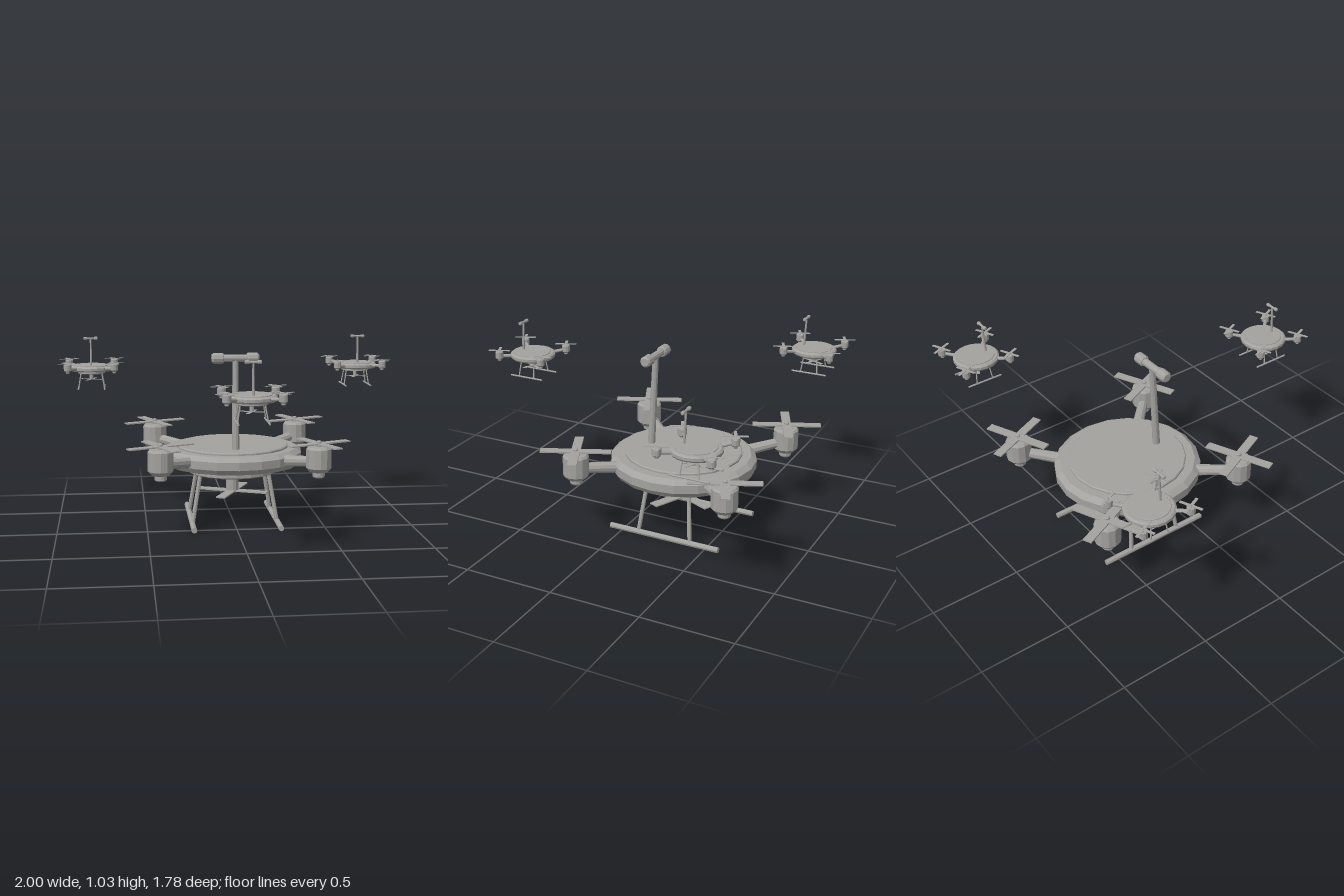
import * as THREE from 'three';

const gray = new THREE.MeshStandardMaterial({ color: 0xa3a29f, flatShading: true });
gray.name = 'gray';

function add(parent, name, geometry, x = 0, y = 0, z = 0) {
  const mesh = new THREE.Mesh(geometry, gray);
  mesh.name = name;
  mesh.position.set(x, y, z);
  parent.add(mesh);
  return mesh;
}

// Turned solid from [radius, height] pairs, bottom to top
function turned(points, sides) {
  return new THREE.LatheGeometry(points.map(([r, y]) => new THREE.Vector2(r, y)), sides);
}

// Tapered round bar between two points
function rod(parent, name, from, to, r0, r1 = r0, sides = 8) {
  const a = new THREE.Vector3(...from);
  const b = new THREE.Vector3(...to);
  const dir = b.clone().sub(a);
  const mesh = add(parent, name, new THREE.CylinderGeometry(r1, r0, dir.length(), sides));
  mesh.position.copy(a).add(b).multiplyScalar(0.5);
  mesh.quaternion.setFromUnitVectors(new THREE.Vector3(0, 1, 0), dir.normalize());
  return mesh;
}

// Four-bladed rotor made of two crossed plates
function rotor(parent, name, length, angle, x, y, z) {
  const group = new THREE.Group();
  group.name = name;
  group.position.set(x, y, z);
  for (let i = 0; i < 2; i++) {
    const blade = add(group, 'blade', new THREE.BoxGeometry(length, 0.007, length * 0.13));
    blade.rotation.y = angle + i * Math.PI / 2;
  }
  parent.add(group);
}

function createDrone(name) {
  const drone = new THREE.Group();
  drone.name = name;

  // Faceted disc body with a raised top plate
  add(drone, 'hull', turned([[0, 0.335], [0.38, 0.335], [0.40, 0.363], [0.40, 0.408],
    [0.37, 0.432], [0, 0.432]], 20));
  add(drone, 'topPlate', turned([[0.322, 0.425], [0.322, 0.441], [0.316, 0.447], [0, 0.447]], 20));
  add(drone, 'lowerRing', turned([[0, 0.283], [0.24, 0.283], [0.258, 0.292], [0.258, 0.316],
    [0.245, 0.325], [0.22, 0.325], [0.22, 0.337]], 20));

  // Arms, motors and rotors at the four corners
  for (const sx of [-1, 1]) {
    for (const sz of [-1, 1]) {
      const x = 0.43 * sx;
      const z = 0.43 * sz;
      rod(drone, 'arm', [0.255 * sx, 0.388, 0.255 * sz], [x, 0.415, z], 0.032, 0.027, 10);
      add(drone, 'motor', turned([[0, 0.325], [0.028, 0.325], [0.034, 0.332], [0.034, 0.355],
        [0.05, 0.358], [0.07, 0.38], [0.07, 0.485], [0.06, 0.497], [0, 0.497]], 12), x, 0, z);
      add(drone, 'rotorHub', turned([[0.014, 0.49], [0.014, 0.525], [0.009, 0.53], [0, 0.53]], 8), x, 0, z);
      rotor(drone, 'rotor', 0.38, 0.42, x, 0.513, z);
    }
  }

  // Landing skids and splayed legs
  for (const sx of [-1, 1]) {
    rod(drone, 'skid', [0.243 * sx, 0.016, -0.324], [0.243 * sx, 0.016, 0.324], 0.016);
    for (const sz of [-1, 1]) {
      rod(drone, 'leg', [0.24 * sx, 0.02, 0.154 * sz], [0.194 * sx, 0.295, 0.124 * sz], 0.012);
    }
  }

  // Motor and rotor under the body
  add(drone, 'lowerMotor', turned([[0, 0.16], [0.03, 0.16], [0.036, 0.168], [0.036, 0.29]], 12));
  rotor(drone, 'lowerRotor', 0.425, -0.42, 0, 0.17, 0);

  // Leaning mast with a crossbar head
  rod(drone, 'mast', [0, 0.43, 0.198], [0, 0.956, 0.174], 0.021, 0.017, 10);
  rod(drone, 'headBar', [-0.1, 0.956, 0.174], [0.1, 0.956, 0.174], 0.021, 0.021, 10);
  for (const sx of [-1, 1]) {
    const end = add(drone, 'headEnd', turned([[0, -0.034], [0.025, -0.034], [0.031, -0.026],
      [0.031, 0.024], [0.022, 0.034], [0, 0.034]], 10), 0.098 * sx, 0.956, 0.174);
    end.rotation.z = -sx * Math.PI / 2;
  }
  return drone;
}

export function createModel() {
  const model = new THREE.Group();
  model.name = 'droneFleet';

  const leader = createDrone('largeDrone');
  leader.position.z = -0.257;
  model.add(leader);

  // Three small escorts hovering around the large one
  for (const [x, z] of [[-0.805, -0.697], [0.805, -0.697], [0, 0.697]]) {
    const escort = createDrone('smallDrone');
    escort.scale.setScalar(0.317);
    escort.position.set(x, 0.721, z);
    model.add(escort);
  }
  return model;
}
